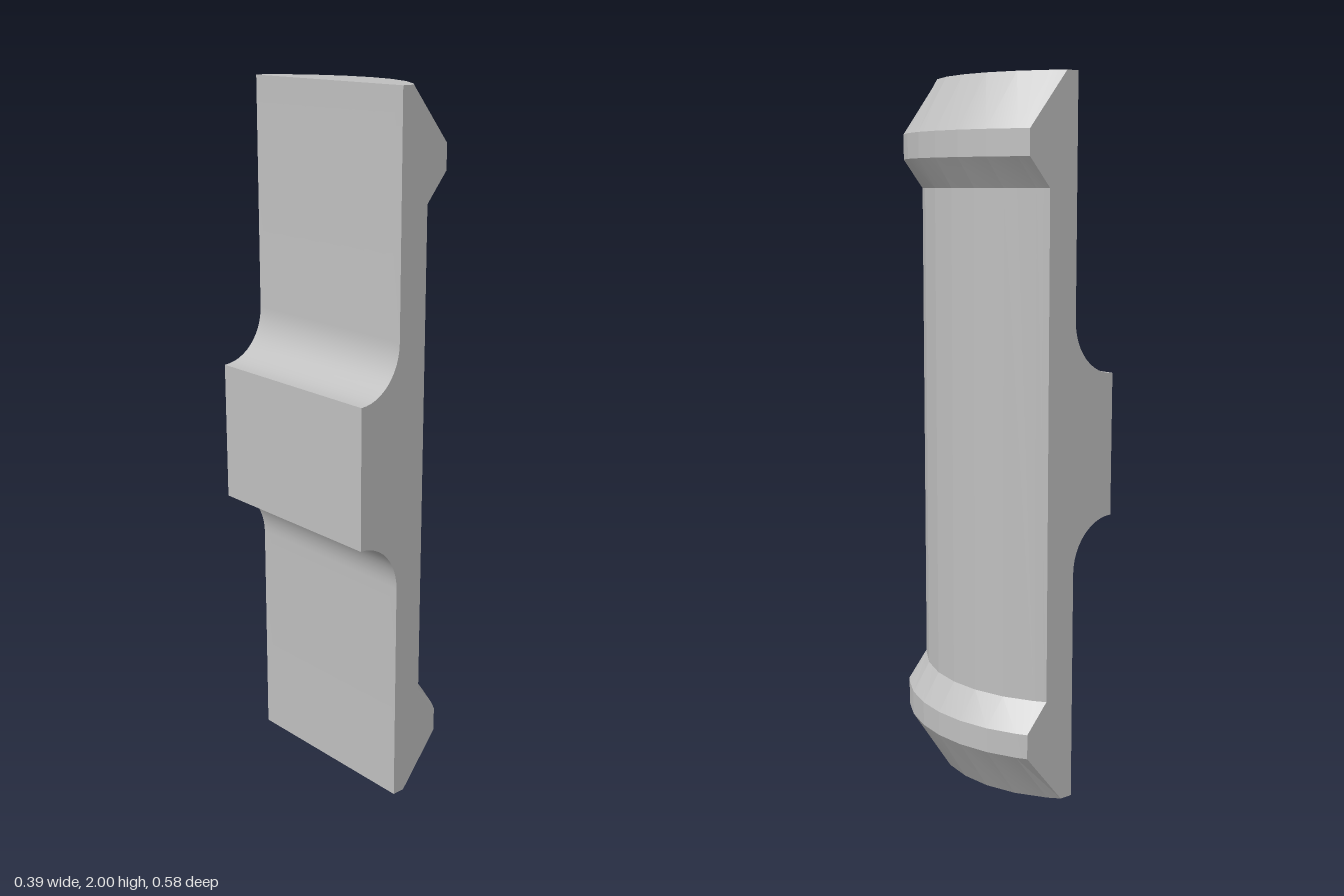
import * as THREE from 'three';
import { toCreasedNormals } from 'three/addons/utils/BufferGeometryUtils.js';

const AXIS_X = -0.3;   // axis of the rounded front
const BACK_X = -0.06;  // flat back
const LUG_X = -0.195;  // outer face of the rear lug

// Turned profile of the rounded face: [radius, y], bottom to top
const lowerHalf = [[0.4, 0], [0.493, 0.15], [0.493, 0.22], [0.44, 0.3]];
const profile = [...lowerHalf, ...lowerHalf.map(([r, y]) => [r, 2 - y]).reverse()];

// Back edge from top to bottom, with filleted shoulders on the lug
function backOutline() {
  const upper = [[BACK_X, 2]];
  const steps = 12;
  for (let i = 0; i <= steps; i++) {
    const a = (i / steps) * Math.PI / 2;
    upper.push([LUG_X + 0.135 * Math.cos(a), 1.35 - 0.15 * Math.sin(a)]);
  }
  return [...upper, ...upper.map(([x, y]) => [x, 2 - y]).reverse()];
}

// Closed outline of the slice at depth z, counter-clockwise from the front
function slice(z, back) {
  const front = profile.map(([r, y]) => [AXIS_X + Math.sqrt(r * r - z * z), y]);
  return [...front, ...back];
}

function bodyGeometry() {
  const depths = [-0.288, -0.26, -0.18, -0.09, 0, 0.09, 0.18, 0.26, 0.288];
  const back = backOutline();
  const slices = depths.map((z) => slice(z, back));
  const n = slices[0].length;
  const positions = [];
  const index = [];
  slices.forEach((s, k) => s.forEach(([x, y]) => positions.push(x, y - 0, depths[k])));

  // Skin between neighbouring slices
  for (let k = 0; k < depths.length - 1; k++) {
    for (let i = 0; i < n; i++) {
      const j = (i + 1) % n;
      const a = k * n + i, b = k * n + j;
      index.push(a, b, b + n, a, b + n, a + n);
    }
  }

  // Flat side faces
  const last = (depths.length - 1) * n;
  const contour = slices[0].map(([x, y]) => new THREE.Vector2(x, y));
  for (const [a, b, c] of THREE.ShapeUtils.triangulateShape(contour, [])) {
    index.push(last + a, last + b, last + c, c, b, a);
  }

  const geometry = new THREE.BufferGeometry();
  geometry.setAttribute('position', new THREE.Float32BufferAttribute(positions, 3));
  geometry.setIndex(index);
  return toCreasedNormals(geometry, 0.16);
}

export function createModel() {
  const group = new THREE.Group();
  group.name = 'roundedPadWithLug';
  const grey = new THREE.MeshStandardMaterial({ color: 0xc0c0c0 });
  grey.name = 'plain grey';
  const body = new THREE.Mesh(bodyGeometry(), grey);
  body.name = 'padBody';
  group.add(body);
  return group;
}
